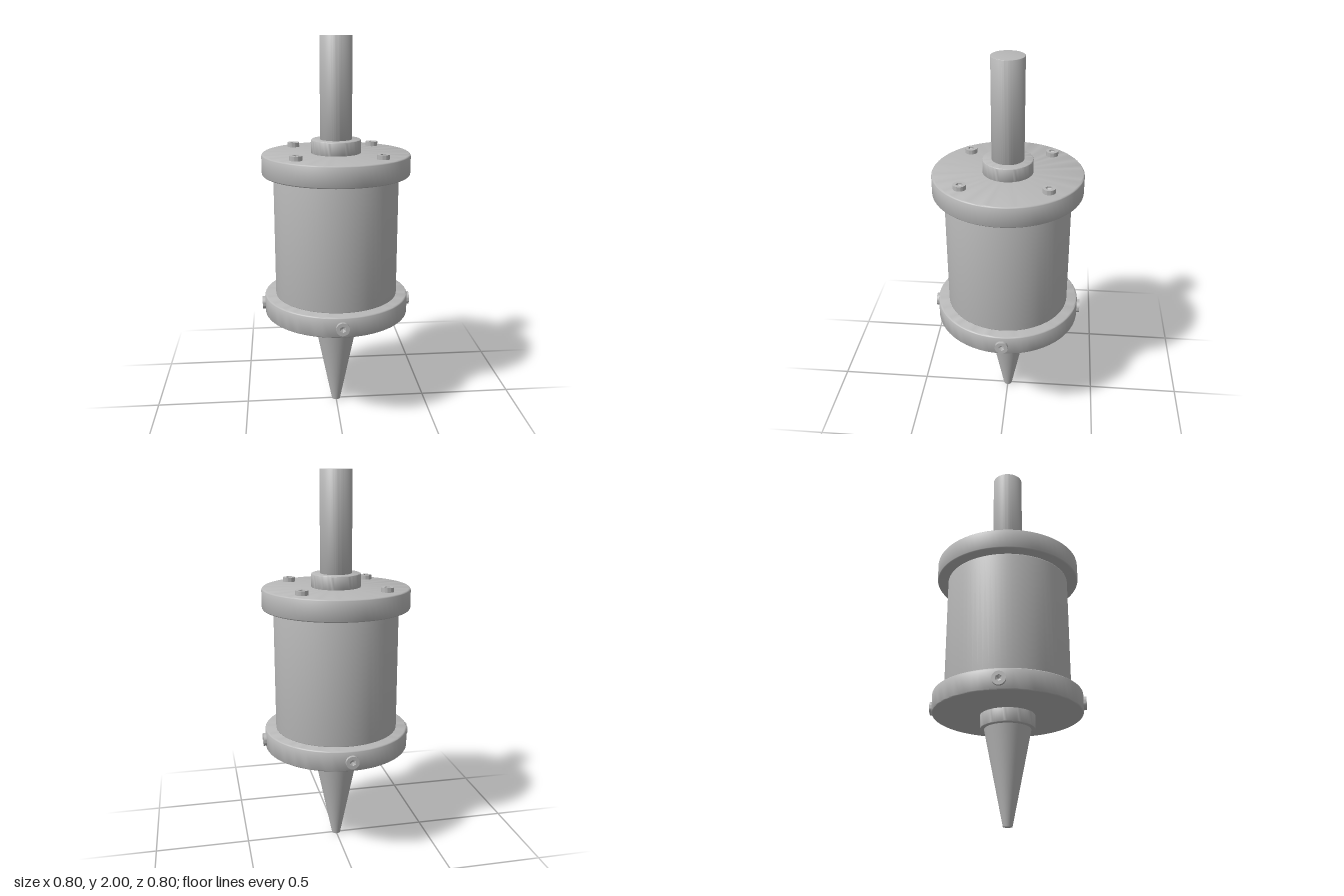
import * as THREE from 'three';
import { toCreasedNormals } from 'three/addons/utils/BufferGeometryUtils.js';

const steel = new THREE.MeshStandardMaterial({ color: 0xb8b8b8 });
steel.name = 'steel';

function mesh(name, geometry) {
  const m = new THREE.Mesh(geometry, steel);
  m.name = name;
  return m;
}

// Upright disc or cylinder with rounded rims
function turned(name, radius, bottom, top, fillet) {
  const points = [new THREE.Vector2(0, bottom)];
  const steps = 4;
  for (const [y, start] of [[bottom + fillet, -Math.PI / 2], [top - fillet, 0]]) {
    for (let i = 0; i <= steps; i++) {
      const a = start + (i / steps) * Math.PI / 2;
      points.push(new THREE.Vector2(radius - fillet + Math.cos(a) * fillet, y + Math.sin(a) * fillet));
    }
  }
  points.push(new THREE.Vector2(0, top));
  return mesh(name, toCreasedNormals(new THREE.LatheGeometry(points, 72), 0.6));
}

// Socket screw pointing up +y, seated at y = 0, with a hexagonal recess
function screw(name, radius, height) {
  const group = new THREE.Group();
  group.name = name;
  const hexRadius = 0.017, sunk = 0.008;
  const shape = new THREE.Shape().absarc(0, 0, radius, 0, Math.PI * 2);
  const hex = [];
  for (let i = 0; i < 6; i++) {
    const a = Math.PI / 2 - i * Math.PI / 3;
    hex.push(new THREE.Vector2(Math.cos(a) * hexRadius, Math.sin(a) * hexRadius));
  }
  shape.holes.push(new THREE.Path(hex));
  const head = new THREE.ExtrudeGeometry(shape, { depth: height + sunk, bevelEnabled: false, curveSegments: 16 });
  head.rotateX(-Math.PI / 2).translate(0, -sunk, 0);
  group.add(mesh('screwHead', toCreasedNormals(head, 0.6)));
  // Drilled conical floor of the recess
  const floor = new THREE.LatheGeometry([
    new THREE.Vector2(hexRadius, height * 0.65), new THREE.Vector2(0, height * 0.15)], 6);
  group.add(mesh('screwSocket', toCreasedNormals(floor, 0.1)));
  return group;
}

export function createModel() {
  const model = new THREE.Group();
  model.name = 'spindleTool';

  // Turned stack, bottom to top
  const tip = new THREE.CylinderGeometry(0.12, 0.023, 0.48, 64);
  tip.translate(0, 0.24, 0);
  model.add(mesh('taperedTip', tip));
  model.add(turned('lowerCollar', 0.14, 0.475, 0.56, 0.005));
  model.add(turned('lowerFlange', 0.385, 0.547, 0.657, 0.012));
  model.add(turned('body', 0.326, 0.65, 1.31, 0.01));
  model.add(turned('upperFlange', 0.385, 1.305, 1.416, 0.012));
  model.add(turned('upperCollar', 0.128, 1.41, 1.486, 0.006));
  model.add(turned('shaft', 0.082, 1.48, 2, 0.002));

  // Four screws on the top face and four around the lower rim
  for (let i = 0; i < 4; i++) {
    const top = screw('topScrew', 0.032, 0.023);
    top.position.set(i % 2 ? 0.214 : -0.214, 1.416, i < 2 ? 0.214 : -0.214);
    model.add(top);

    const side = screw('sideScrew', 0.034, 0.016);
    side.rotation.x = Math.PI / 2;
    side.position.set(0, 0.6, 0.384);
    const pivot = new THREE.Group();
    pivot.name = 'sideScrewMount';
    pivot.rotation.y = i * Math.PI / 2;
    pivot.add(side);
    model.add(pivot);
  }
  return model;
}
